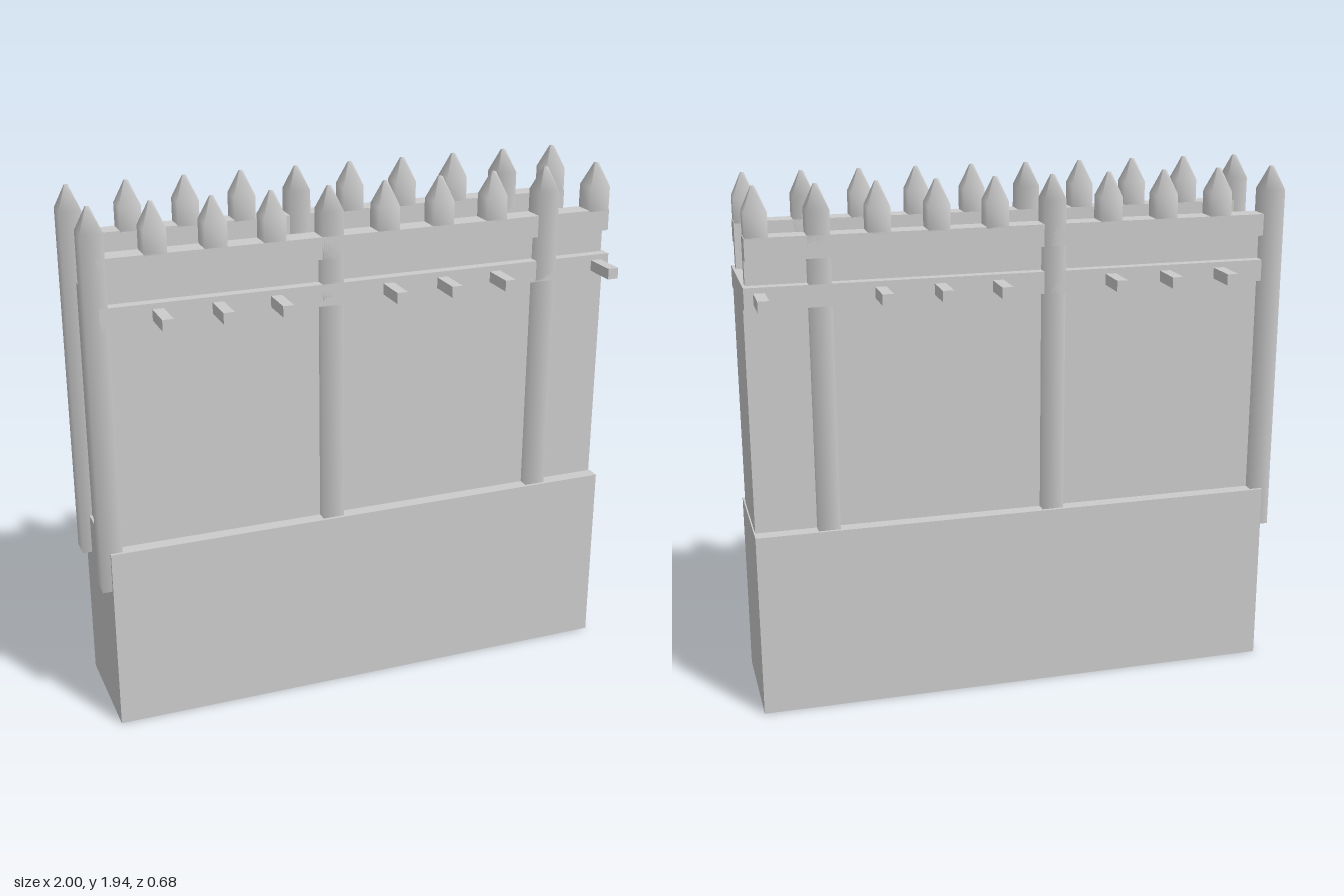
import * as THREE from 'three';
import { mergeGeometries } from 'three/addons/utils/BufferGeometryUtils.js';

const material = new THREE.MeshStandardMaterial({ color: 0xcccccc });
const hollowMaterial = new THREE.MeshStandardMaterial({ color: 0xcccccc, side: THREE.DoubleSide });

// Box given by its minimum and maximum corners
function box(name, [x0, y0, z0], [x1, y1, z1]) {
  const mesh = new THREE.Mesh(new THREE.BoxGeometry(x1 - x0, y1 - y0, z1 - z0), material);
  mesh.position.set((x0 + x1) / 2, (y0 + y1) / 2, (z0 + z1) / 2);
  mesh.name = name;
  return mesh;
}

// Square, softly shaded stake with a pointed top
function stakeGeometry(bottom) {
  const r = 0.04 * Math.SQRT2;
  const profile = [[r, bottom], [r, 1.855], [0.009, 1.94], [0, 1.942]];
  const shaft = new THREE.LatheGeometry(profile.map(([x, y]) => new THREE.Vector2(x, y)), 4);
  const cap = new THREE.CircleGeometry(r, 4).rotateX(Math.PI / 2).translate(0, bottom, 0);
  return mergeGeometries([shaft, cap]).rotateY(Math.PI / 4);
}

// Everything along one long side; side is 1 for front, -1 for back
function createSide(side) {
  const group = new THREE.Group();
  group.name = side > 0 ? 'frontPalisade' : 'backPalisade';
  const slab = (name, x0, x1, y0, y1, zIn, zOut) => {
    const z = [zIn * side, zOut * side].sort((a, b) => a - b);
    group.add(box(name, [x0, y0, z[0]], [x1, y1, z[1]]));
  };

  // Parapet with overhanging top board, and the rail below it
  slab('parapet', -0.95, 0.98, 1.6, 1.69, 0.13, 0.17);
  slab('parapetBoard', -0.95, 0.98, 1.69, 1.77, 0.13, 0.21);
  slab('rail', -0.95, 0.99, 1.52, 1.6, 0.17, 0.21);

  // Every fourth stake is a full-length post; pegs sit under the short ones
  const postGeometry = stakeGeometry(0.545);
  const shortGeometry = stakeGeometry(1.765);
  for (let i = 0; i < 10; i++) {
    const x = -0.96 + i * 0.2108;
    const isPost = i % 4 === 0;
    const stake = new THREE.Mesh(isPost ? postGeometry : shortGeometry, material);
    stake.name = isPost ? 'post' : 'shortStake';
    stake.position.set(x, 0, 0.17 * side);
    group.add(stake);
    if (!isPost) slab('peg', x - 0.02, x + 0.02, 1.54, 1.58, 0.17, 0.338);
  }
  return group;
}

export function createModel() {
  const model = new THREE.Group();
  model.name = 'palisadeWall';

  // Plinth, open underneath
  const base = box('base', [-0.965, 0, -0.222], [0.995, 0.695, 0.222]);
  const index = Array.from(base.geometry.index.array);
  index.splice(18, 6);
  base.geometry.setIndex(index);
  base.geometry.clearGroups();
  base.material = hollowMaterial;
  model.add(base);

  // Wall core, its top forming the walkway
  model.add(box('wall', [-0.955, 0.695, -0.17], [0.99, 1.6, 0.17]));

  model.add(createSide(1), createSide(-1));
  return model;
}
